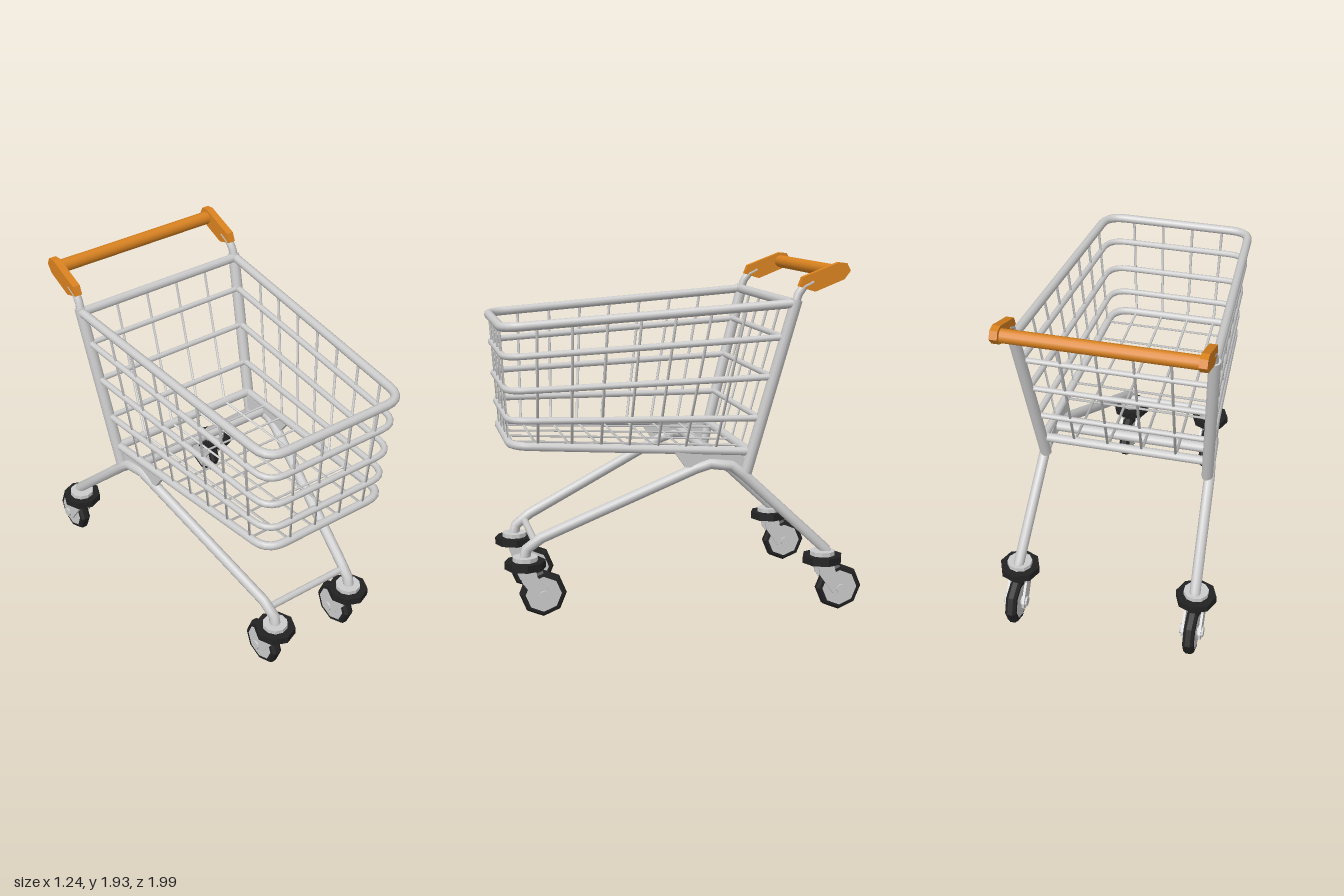
import * as THREE from 'three';
import { mergeGeometries } from 'three/addons/utils/BufferGeometryUtils.js';

const V = (x, y, z) => new THREE.Vector3(x, y, z);
const lerp = THREE.MathUtils.lerp;
const steel = new THREE.MeshStandardMaterial({ color: 0xcccccc });
const facetedSteel = new THREE.MeshStandardMaterial({ color: 0xcccccc, flatShading: true });
const rubber = new THREE.MeshStandardMaterial({ color: 0x222222, flatShading: true });
const orange = new THREE.MeshStandardMaterial({ color: 0xd9821f });
const orangeFlat = new THREE.MeshStandardMaterial({ color: 0xd9821f, flatShading: true });

// Polyline whose tube rings sit exactly on the given points
class Polyline extends THREE.Curve {
  constructor(points) { super(); this.points = points; }
  getPoint(t) {
    const n = this.points.length - 1, i = Math.min(Math.floor(t * n + 1e-6), n - 1);
    return this.points[i].clone().lerp(this.points[i + 1], t * n - i);
  }
  getPointAt(u) { return this.getPoint(u); }
  getTangentAt(u) {
    const p = this.points, n = p.length - 1, i = Math.round(u * n), t = V(0, 0, 0);
    if (i > 0) t.add(p[i].clone().sub(p[i - 1]).normalize());
    if (i < n) t.add(p[i + 1].clone().sub(p[i]).normalize());
    return t.normalize();
  }
}

// Capped tube through points
function pipe(points, r, sides = 10) {
  const curve = new Polyline(points);
  const parts = [new THREE.TubeGeometry(curve, points.length - 1, r, sides, false)];
  for (const [u, s] of [[0, -1], [1, 1]]) {
    const cap = new THREE.CircleGeometry(r, sides);
    cap.applyQuaternion(new THREE.Quaternion().setFromUnitVectors(V(0, 0, 1), curve.getTangentAt(u).multiplyScalar(s)));
    const p = points[u ? points.length - 1 : 0];
    parts.push(cap.translate(p.x, p.y, p.z));
  }
  return mergeGeometries(parts);
}

function add(parent, name, geometry, material = steel) {
  const mesh = new THREE.Mesh(geometry, material);
  mesh.name = name;
  parent.add(mesh);
  return mesh;
}

// Side outline given as [z, y], extruded across x and centred on x
function sidePlate(outline, x, thickness) {
  const shape = new THREE.Shape(outline.map(([z, y]) => new THREE.Vector2(z, y)));
  const g = new THREE.ExtrudeGeometry(shape, { depth: thickness, bevelEnabled: false });
  return g.translate(0, 0, -thickness / 2).rotateY(-Math.PI / 2).translate(x, 0, 0);
}

// Basket rails from top to bottom: front z/y/half width, back z/y/half width, radius
const rails = [
  [0.97, 1.615, 0.435, -0.575, 1.72, 0.525, 0.025],
  [0.96, 1.46, 0.425, -0.525, 1.54, 0.51, 0.018],
  [0.95, 1.28, 0.412, -0.47, 1.325, 0.495, 0.018],
  [0.94, 1.12, 0.40, -0.405, 1.10, 0.48, 0.018],
  [0.93, 0.985, 0.39, -0.355, 0.915, 0.465, 0.023],
].map(([zf, yf, wf, zb, yb, wb, r]) => ({ zf, yf, wf, zb, yb, wb, r }));

function onRail(q, z, side = 1) {
  const t = (z - q.zb) / (q.zf - q.zb);
  return V(side * lerp(q.wb, q.wf, t), lerp(q.yb, q.yf, t), z);
}

function railPath(q) {
  const c = 0.11, a = onRail(q, q.zf - c);
  const corner = new THREE.QuadraticBezierCurve3(a, V(q.wf, q.yf, q.zf), V(q.wf - c, q.yf, q.zf));
  const half = [onRail(q, q.zb), ...corner.getPoints(5)];
  return [...half, ...half.map(p => V(-p.x, p.y, p.z)).reverse()];
}

function buildBasket() {
  const basket = new THREE.Group();
  basket.name = 'basket';
  const top = rails[0], bottom = rails[4];
  rails.forEach((q, i) => {
    add(basket, 'basketRail', pipe(railPath(q), q.r));
    const r = [0.026, 0.016, 0.016, 0.016, 0.026][i];
    add(basket, 'backRail', pipe([V(q.wb, q.yb, q.zb), V(-q.wb, q.yb, q.zb)], r));
  });
  // Hoops down both sides and across the floor: [top z, bottom z]
  const hoops = [[0.79, 0.79], [0.605, 0.61], [0.42, 0.455], [0.24, 0.305], [0.055, 0.15], [-0.135, 0], [-0.32, -0.165]];
  for (const [zt, zb] of hoops) {
    add(basket, 'sideWire', pipe([onRail(top, zt), onRail(bottom, zb), onRail(bottom, zb, -1), onRail(top, zt, -1)], 0.008, 6));
  }
  // Wires down the front, along the floor and up the back
  for (const k of [-0.6, -0.2, 0.2, 0.6]) {
    add(basket, 'lengthWire', pipe([
      V(k * 0.45, top.yf, top.zf), V(k * 0.41, bottom.yf, bottom.zf),
      V(k * 0.48, bottom.yb, bottom.zb), V(k * 0.50, top.yb, top.zb)], 0.008, 6));
  }
  return basket;
}

// Swivel caster around its stem axis, with the wheel trailing behind
function buildCaster(x, z) {
  const caster = new THREE.Group();
  caster.name = 'caster';
  caster.position.set(x, 0, z);
  add(caster, 'casterCollar', new THREE.CylinderGeometry(0.07, 0.07, 0.025, 10).translate(0, 0.33, 0), facetedSteel);
  add(caster, 'casterBumper', new THREE.CylinderGeometry(0.113, 0.113, 0.042, 8).translate(0, 0.298, 0), rubber);

  const axle = [-0.095, 0.13];
  const outline = [[-0.05, 0.285], [-0.06, 0.235], [-0.135, 0.14], [-0.135, 0.11], [-0.115, 0.09],
    [-0.08, 0.085], [-0.055, 0.1], [0.025, 0.21], [0.04, 0.285]];
  for (const s of [-1, 1]) add(caster, 'fork', sidePlate(outline, s * 0.048, 0.014), facetedSteel);
  add(caster, 'forkCrown', new THREE.BoxGeometry(0.1, 0.02, 0.09).translate(0, 0.275, -0.005), facetedSteel);

  const tyre = [[0.1, -0.032], [0.118, -0.03], [0.13, -0.014], [0.13, 0.014], [0.118, 0.03], [0.1, 0.032]];
  const spin = g => g.rotateZ(Math.PI / 2).translate(0, axle[1], axle[0]);
  add(caster, 'tyre', spin(new THREE.LatheGeometry(tyre.map(p => new THREE.Vector2(...p)), 8)), rubber);
  add(caster, 'wheelHub', spin(new THREE.CylinderGeometry(0.102, 0.102, 0.062, 8)), facetedSteel);
  add(caster, 'axle', spin(new THREE.CylinderGeometry(0.028, 0.028, 0.132, 8)), facetedSteel);
  return caster;
}

export function createModel() {
  const cart = new THREE.Group();
  cart.name = 'shoppingCart';
  cart.add(buildBasket());

  for (const s of [-1, 1]) {
    // Back post bending into the handle
    add(cart, 'backPost', pipe([V(s * 0.465, 0.79, -0.335), V(s * 0.525, 1.74, -0.59)], 0.032));
    add(cart, 'handleStem', pipe([V(s * 0.525, 1.71, -0.58), V(s * 0.522, 1.77, -0.60),
      V(s * 0.52, 1.81, -0.63), V(s * 0.52, 1.835, -0.68)], 0.023));
    // Front leg, apex and rear leg from one bent tube
    add(cart, 'legTube', pipe([
      V(s * 0.265, 0.32, 0.86), V(s * 0.265, 0.385, 0.845), V(s * 0.275, 0.445, 0.765),
      V(s * 0.445, 0.83, -0.06), V(s * 0.455, 0.855, -0.14), V(s * 0.465, 0.84, -0.255),
      V(s * 0.475, 0.79, -0.32), V(s * 0.502, 0.35, -0.79), V(s * 0.505, 0.32, -0.80)], 0.03));
    add(cart, 'gusset', sidePlate([[0.06, 0.925], [0.0, 0.84], [-0.14, 0.84], [-0.32, 0.82], [-0.33, 0.91]], s * 0.448, 0.025), facetedSteel);
    // Handle end grips
    const grip = [[-0.60, 1.81], [-0.62, 1.86], [-0.82, 1.935], [-0.865, 1.93], [-0.885, 1.89],
      [-0.85, 1.845], [-0.69, 1.782]];
    add(cart, 'handleGrip', sidePlate(grip, s * 0.52, 0.042), orangeFlat);

    cart.add(buildCaster(s * 0.263, 0.855), buildCaster(s * 0.505, -0.772));
  }
  add(cart, 'handleBar', pipe([V(0.51, 1.882, -0.825), V(-0.51, 1.882, -0.825)], 0.037, 12), orange);
  add(cart, 'underBar', pipe([V(0.45, 0.875, -0.19), V(-0.45, 0.875, -0.19)], 0.03));
  add(cart, 'frontCrossbar', pipe([V(0.27, 0.41, 0.795), V(-0.27, 0.41, 0.795)], 0.02));
  return cart;
}
